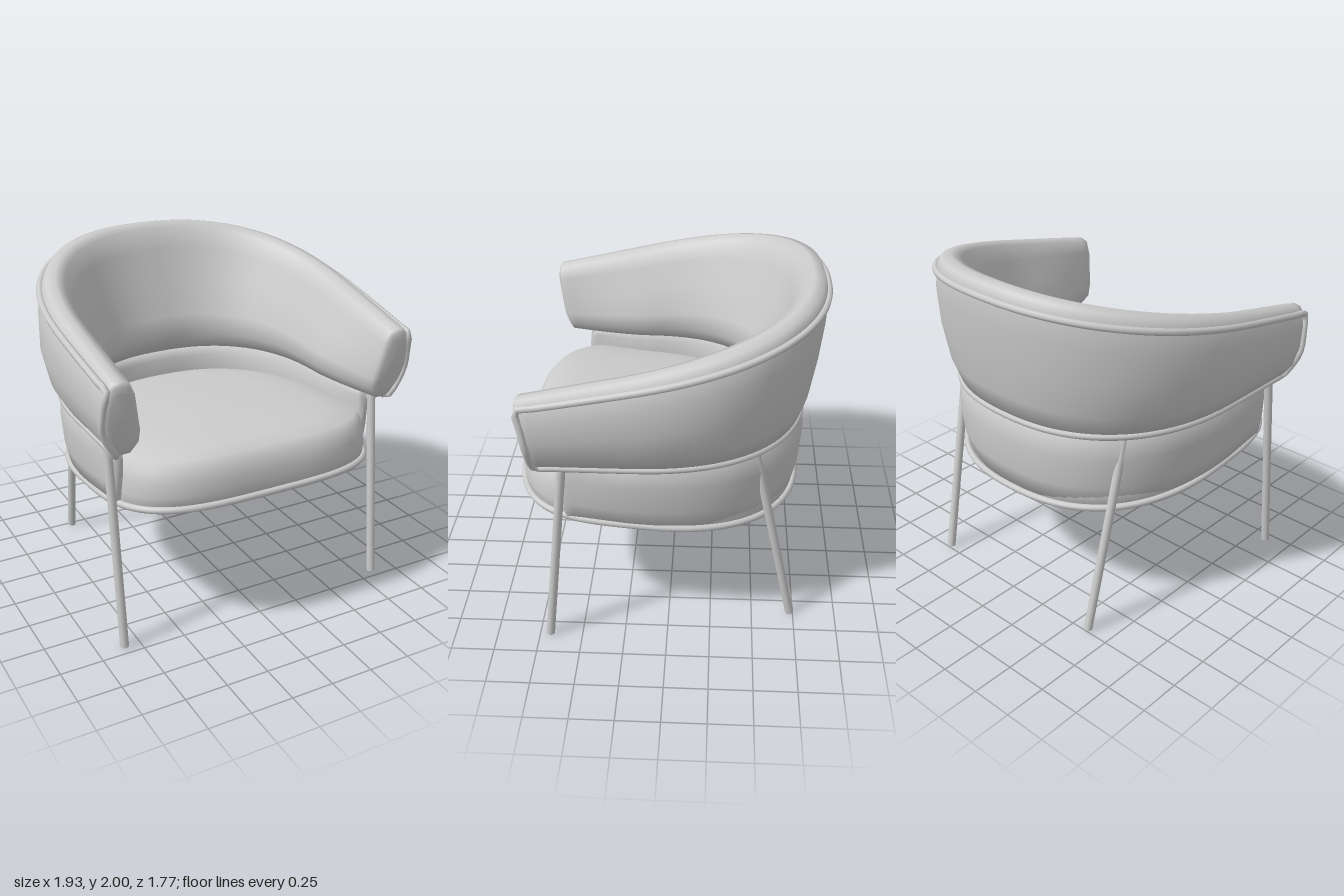
import * as THREE from 'three';

const grey = new THREE.MeshStandardMaterial({ color: 0xcccccc });
grey.name = 'light grey';

// Skin closed rings of points into one smooth surface
function loft(rings) {
  const m = rings[0].length, index = [];
  for (let i = 0; i < rings.length - 1; i++) {
    for (let j = 0; j < m; j++) {
      const k = (j + 1) % m;
      const a = i * m + j, b = i * m + k, c = a + m, d = b + m;
      index.push(a, b, c, c, b, d);
    }
  }
  const g = new THREE.BufferGeometry().setFromPoints(rings.flat());
  g.setIndex(index);
  g.computeVertexNormals();
  return g;
}

function add(group, name, geometry) {
  const mesh = new THREE.Mesh(geometry, grey);
  mesh.name = name;
  group.add(mesh);
}

const spow = (v, p) => Math.sign(v) * Math.abs(v) ** p;
const ARC = 0.65, ZC = 0.2, SQUARENESS = 2.35;

// Point on a U-shaped plan: s = -1 right end, 0 middle of the back, 1 left end
function uPoint(s, rx, rz, zFront, flare) {
  const t = Math.abs(s), p = 2 / SQUARENESS;
  if (t <= ARC) {
    const a = (s / ARC) * Math.PI / 2;
    return [rx * spow(Math.sin(a), p), ZC - rz * Math.abs(Math.cos(a)) ** p];
  }
  const u = (t - ARC) / (1 - ARC);
  return [Math.sign(s) * (rx + flare * u ** 1.5), ZC + (zFront - ZC) * u];
}

// Sweep a section around the U, rounding and closing both ends
function sweepU(section, pointAt) {
  const rings = [], N = 72;
  for (let i = 0; i <= N; i++) {
    const s = (i / N) * 2 - 1;
    rings.push(section.map((p) => pointAt(s, p)));
  }
  const capped = (ring) => {
    const c = ring.reduce((v, p) => v.add(p), new THREE.Vector3()).divideScalar(ring.length);
    const shrink = (k, dz) => ring.map((p) => p.clone().lerp(c, k).add(new THREE.Vector3(0, 0, dz)));
    return [shrink(1, 0.03), shrink(0.3, 0.025), shrink(0.1, 0.012)];
  };
  const start = capped(rings[0]), end = capped(rings[N]).reverse();
  return loft([...start, ...rings, ...end]);
}

// Backrest section, outer bottom over the top to inner bottom:
// plan radii, height fraction and how far the arm end moves sideways
const backSection = [
  [0.86, 0.955, 0, 0], [0.925, 1.0, 0.18, -0.01], [0.965, 1.035, 0.45, -0.02],
  [0.96, 1.06, 0.72, -0.02], [0.935, 1.06, 0.9, -0.02], [0.90, 1.04, 0.97, -0.01],
  [0.85, 0.98, 0.985, 0], [0.80, 0.92, 0.95, 0], [0.76, 0.87, 0.8, 0.01],
  [0.70, 0.81, 0.55, 0.05], [0.64, 0.73, 0.3, 0.09], [0.635, 0.7, 0.14, 0.1], [0.69, 0.76, 0.01, 0.09],
];
function backPoint(s, [rx, rz, f, flare]) {
  const [x, z] = uPoint(s, rx, rz, 0.7 + 0.07 * f, flare);
  const zRef = uPoint(s, 0.93, 1.05, 0.76, 0)[1];
  const top = 1.64 + (0.76 - zRef) * 0.232;
  return new THREE.Vector3(x, 1.2 + (top - 1.2) * f, z);
}

// Sloping underside and top of the seat
const underside = (z) => 0.785 + 0.0875 * z;
const seatTop = (z) => 1.105 + 0.07 * z;

// Lower band joining seat and backrest
const bandSection = [
  [0.83, 0.93, 0.03, -0.02], [0.855, 0.96, 0.3, -0.03], [0.87, 0.975, 0.7, -0.04],
  [0.86, 0.96, 0.97, -0.04], [0.82, 0.91, 1, -0.01], [0.75, 0.8, 0.99, 0.02],
  [0.7, 0.74, 0.9, 0.06], [0.7, 0.74, 0.5, 0.06], [0.74, 0.8, 0.03, 0.02],
];
function bandPoint(s, [rx, rz, f, flare]) {
  const [x, z] = uPoint(s, rx, rz, 0.55, flare);
  const y0 = underside(z);
  return new THREE.Vector3(x, y0 + (1.2 - y0) * f, z);
}

// Seat plan: rounded at the back, squarer with a bowed edge in front
function seatRing(scale, f) {
  const ring = [];
  for (let i = 0; i < 72; i++) {
    const a = (i / 72) * Math.PI * 2, c = Math.cos(a);
    const p = c > 0 ? 2 / 3.5 : 2 / 2.4;
    const x = 0.82 * spow(Math.sin(a), p) * (1 + scale) / 2 * (scale < 0.9 ? scale : 1);
    const z = 0.15 + (c > 0 ? 0.71 : 0.88) * spow(c, p) * scale;
    ring.push(new THREE.Vector3(x, underside(z) + (seatTop(z) - underside(z)) * f, z));
  }
  return ring;
}

function piping(points, radius) {
  const curve = new THREE.CatmullRomCurve3(points, true, 'centripetal');
  return new THREE.TubeGeometry(curve, 200, radius, 8, true);
}

function rod(from, to, radius) {
  const dir = to.clone().sub(from);
  const g = new THREE.CylinderGeometry(radius, radius, dir.length(), 16);
  g.applyQuaternion(new THREE.Quaternion().setFromUnitVectors(new THREE.Vector3(0, 1, 0), dir.normalize()));
  return g.translate((from.x + to.x) / 2, (from.y + to.y) / 2, (from.z + to.z) / 2);
}

export function createModel() {
  const chair = new THREE.Group();
  chair.name = 'armchair';

  add(chair, 'backrest', sweepU(backSection, backPoint));
  add(chair, 'lowerBand', sweepU(bandSection, bandPoint));

  const levels = [[0, 0], [0.97, 0], [0.97, 0], [1, 0.06], [1.01, 0.25], [0.995, 0.5], [0.965, 0.7],
    [0.91, 0.85], [0.8, 0.95], [0.62, 1], [0, 1.02]];
  add(chair, 'seatCushion', loft(levels.map(([s, f]) => seatRing(s, f))));

  // Piping around the outer panel of the backrest and the seat's lower edge
  const upper = [], lower = [];
  for (let i = 0; i <= 40; i++) {
    const s = i / 20 - 1;
    upper.push(backPoint(s, [0.94, 1.065, 0.89, -0.015]));
    lower.unshift(backPoint(s, [0.86, 0.955, 0, 0]));
  }
  const ends = [0.65, 0.35];
  const leftEnd = ends.map((f) => backPoint(1, [0.96, 1, f, -0.02]));
  const rightEnd = ends.map((f) => backPoint(-1, [0.96, 1, f, -0.02])).reverse();
  add(chair, 'backrestPiping', piping([...upper, ...leftEnd, ...lower, ...rightEnd], 0.02));
  add(chair, 'seatPiping', piping(seatRing(1.01, 0.02), 0.02));

  // Splayed legs, mirrored left and right
  for (const [side, label] of [[1, 'left'], [-1, 'right']]) {
    const v = (x, y, z) => new THREE.Vector3(x * side, y, z);
    add(chair, label + 'FrontLeg', rod(v(0.845, 0.01, 0.69), v(0.85, 1.21, 0.56), 0.025));
    add(chair, label + 'BackLeg', rod(v(0.6, 0.01, -0.73), v(0.64, 1.19, -0.48), 0.025));
  }
  return chair;
}
